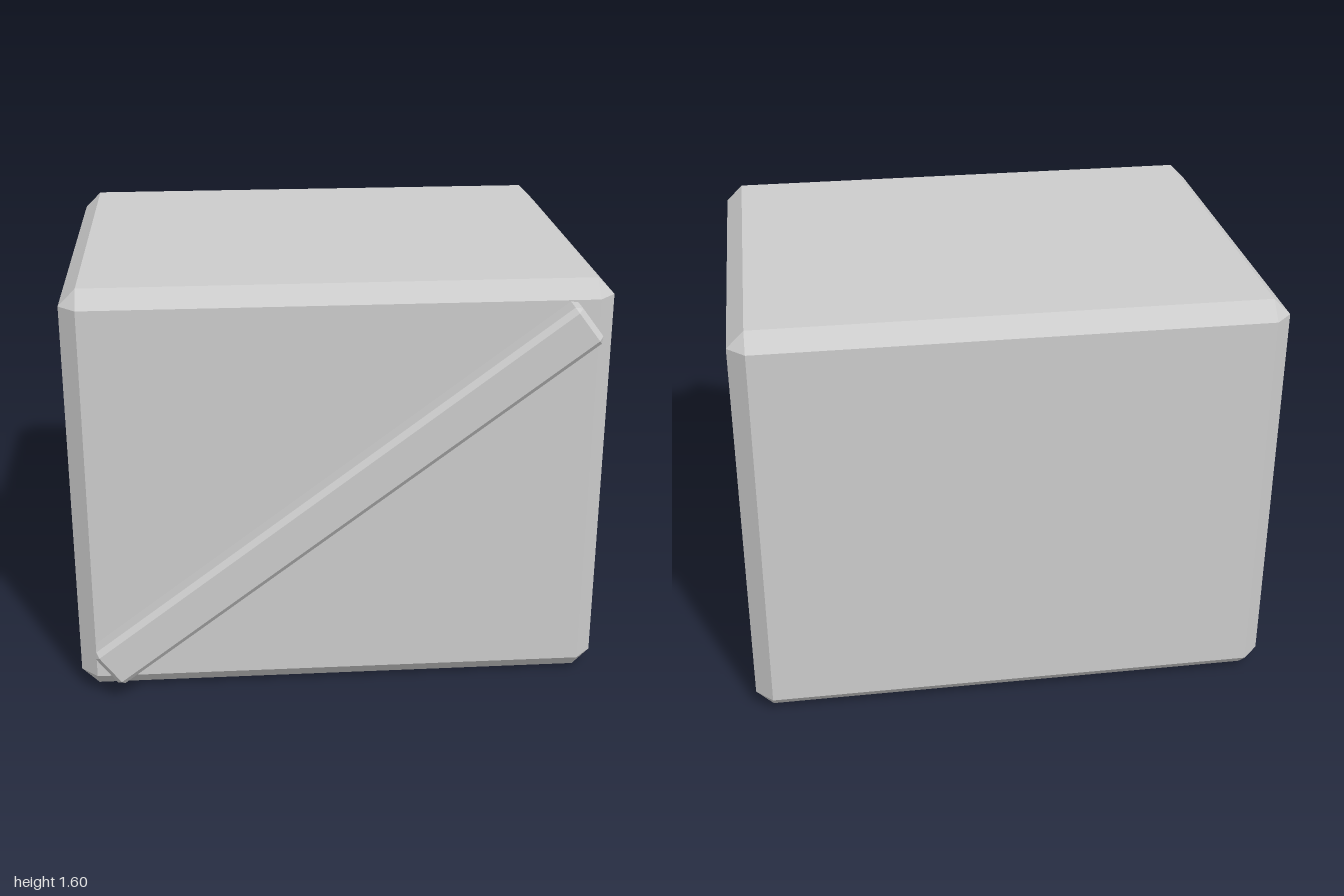
import * as THREE from 'three';
import { ConvexGeometry } from 'three/addons/geometries/ConvexGeometry.js';

// Box with every edge cut flat and a triangle at each corner
function chamferedBox(w, h, d, c) {
  const points = [];
  for (const sx of [-1, 1]) for (const sy of [-1, 1]) for (const sz of [-1, 1]) {
    const x = w / 2, y = h / 2, z = d / 2;
    points.push(
      new THREE.Vector3(sx * x, sy * (y - c), sz * (z - c)),
      new THREE.Vector3(sx * (x - c), sy * y, sz * (z - c)),
      new THREE.Vector3(sx * (x - c), sy * (y - c), sz * z)
    );
  }
  return new ConvexGeometry(points);
}

export function createModel() {
  const group = new THREE.Group();
  const grey = new THREE.MeshStandardMaterial({ color: 0xcccccc, flatShading: true });
  grey.name = 'plain grey';

  // Crate body
  const body = new THREE.Mesh(chamferedBox(2, 1.6, 1.6, 0.064), grey);
  body.name = 'crateBody';
  body.position.set(0, 0.8, -0.047);
  group.add(body);

  // Diagonal plank, its back edge sunk slightly into the front face
  const plank = new THREE.Mesh(chamferedBox(2.235, 0.172, 0.115, 0.02), grey);
  plank.name = 'diagonalPlank';
  plank.position.set(0, 0.803, 0.847 - 0.115 / 2);
  plank.rotation.z = Math.atan2(1.335, 1.775);
  group.add(plank);

  return group;
}
